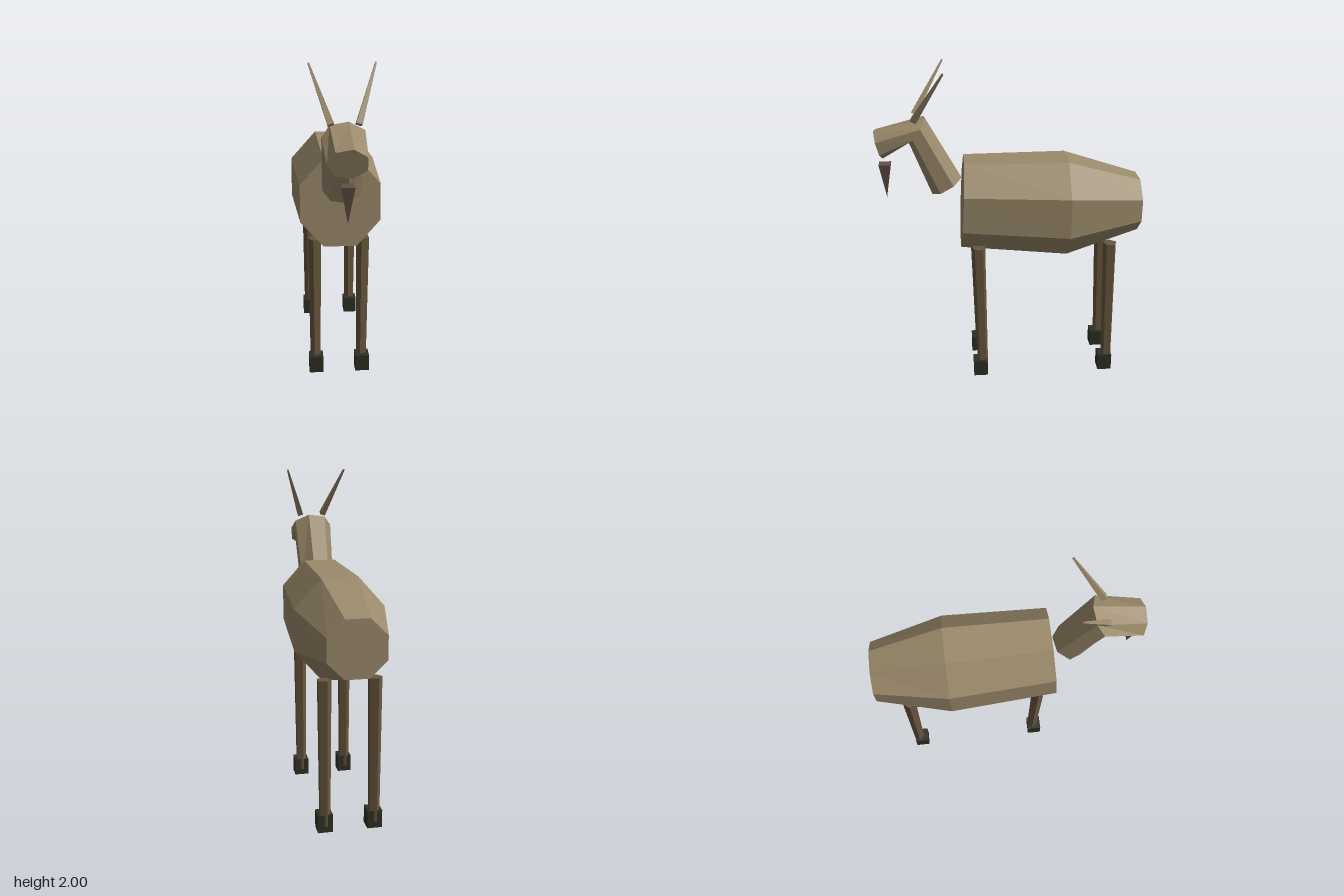
import * as THREE from 'three';

const mat = (name, color) => {
  const m = new THREE.MeshStandardMaterial({ color, flatShading: true });
  m.name = name;
  return m;
};

// One n-sided cross-section: centre, half width along x, and an 'up' half axis in the yz plane
function ring([cx, cy, cz], rx, [uy, uz], n, phase) {
  return Array.from({ length: n }, (_, i) => {
    const a = phase + (i / n) * Math.PI * 2;
    const s = Math.sin(a);
    return [cx + rx * Math.cos(a), cy + uy * s, cz + uz * s];
  });
}

// Faceted, capped skin through a list of cross-sections
function loft(rings) {
  const pos = [];
  const tri = (a, b, c) => pos.push(...a, ...b, ...c);
  const n = rings[0].length;
  for (let r = 0; r < rings.length - 1; r++) {
    const p = rings[r], q = rings[r + 1];
    for (let i = 0; i < n; i++) {
      const j = (i + 1) % n;
      tri(p[i], p[j], q[j]);
      tri(p[i], q[j], q[i]);
    }
  }
  const first = rings[0], last = rings[rings.length - 1];
  for (let i = 1; i < n - 1; i++) {
    tri(first[0], first[i + 1], first[i]);
    tri(last[0], last[i], last[i + 1]);
  }
  const g = new THREE.BufferGeometry();
  g.setAttribute('position', new THREE.Float32BufferAttribute(pos, 3));
  g.computeVertexNormals();
  return g;
}

export function createModel() {
  const group = new THREE.Group();
  const coat = mat('coat tan', 0x9b8a6b);
  const legBrown = mat('leg brown', 0x69573f);
  const beardBrown = mat('beard brown', 0x625047);
  const hoofDark = mat('hoof dark', 0x2e3024);

  const add = (name, geometry, material) => {
    const mesh = new THREE.Mesh(geometry, material);
    mesh.name = name;
    group.add(mesh);
    return mesh;
  };

  // Barrel body: rump, belly, chest
  const k = 1 / Math.cos(Math.PI / 8);
  const oct = (c, rx, up) => ring(c, rx * k, up.map(v => v * k), 8, Math.PI / 8);
  add('body', loft([
    oct([0, 1.126, -0.8], 0.168, [0.166, 0]),
    oct([0, 1.128, -0.35], 0.267, [0.302, 0]),
    oct([0, 1.163, 0.29], 0.237, [0.268, -0.015]),
  ]), coat);

  // Neck bending into the head
  const hept = (c, rx, up) => ring(c, rx, up.map(v => v / 0.975), 7, Math.PI);
  add('neckAndHead', loft([
    hept([0, 1.275, 0.38], 0.112, [0.05, -0.09]),
    hept([0, 1.627, 0.545], 0.126, [0.073, -0.05]),
    hept([0, 1.545, 0.777], 0.112, [0.085, 0.023]),
  ]), coat);

  // Horns sweeping out and back
  for (const side of [1, -1]) {
    const base = new THREE.Vector3(0.075 * side, 1.7, 0.562);
    const tip = new THREE.Vector3(0.183 * side, 1.998, 0.383);
    const axis = tip.clone().sub(base);
    const g = new THREE.CylinderGeometry(0.007, 0.025, axis.length(), 4, 1, false, Math.PI / 4);
    const horn = add(side > 0 ? 'leftHorn' : 'rightHorn', g, coat);
    horn.position.copy(base).add(tip).multiplyScalar(0.5);
    horn.quaternion.setFromUnitVectors(new THREE.Vector3(0, 1, 0), axis.normalize());
  }

  // Beard: a small pyramid pointing down
  const beard = add('beard',
    new THREE.CylinderGeometry(0.051, 0, 0.215, 4, 1, false, Math.PI / 4), beardBrown);
  beard.position.set(0, 1.313, 0.745);

  // Slim five-sided legs on block hooves
  const pent = (c, r) => ring(c, r, [0, -r], 5, Math.PI);
  for (const [end, z] of [['front', 0.2], ['back', -0.615]]) {
    for (const side of [1, -1]) {
      const label = end + (side > 0 ? 'Left' : 'Right');
      const x = 0.146 * side;
      add(label + 'Leg', loft([
        pent([x, 0.037, z - 0.017], 0.034),
        pent([x, 0.91, z], 0.043),
      ]), legBrown);
      const hoof = add(label + 'Hoof', new THREE.BoxGeometry(0.088, 0.107, 0.088), hoofDark);
      hoof.position.set(x, 0.0535, z);
    }
  }
  return group;
}
